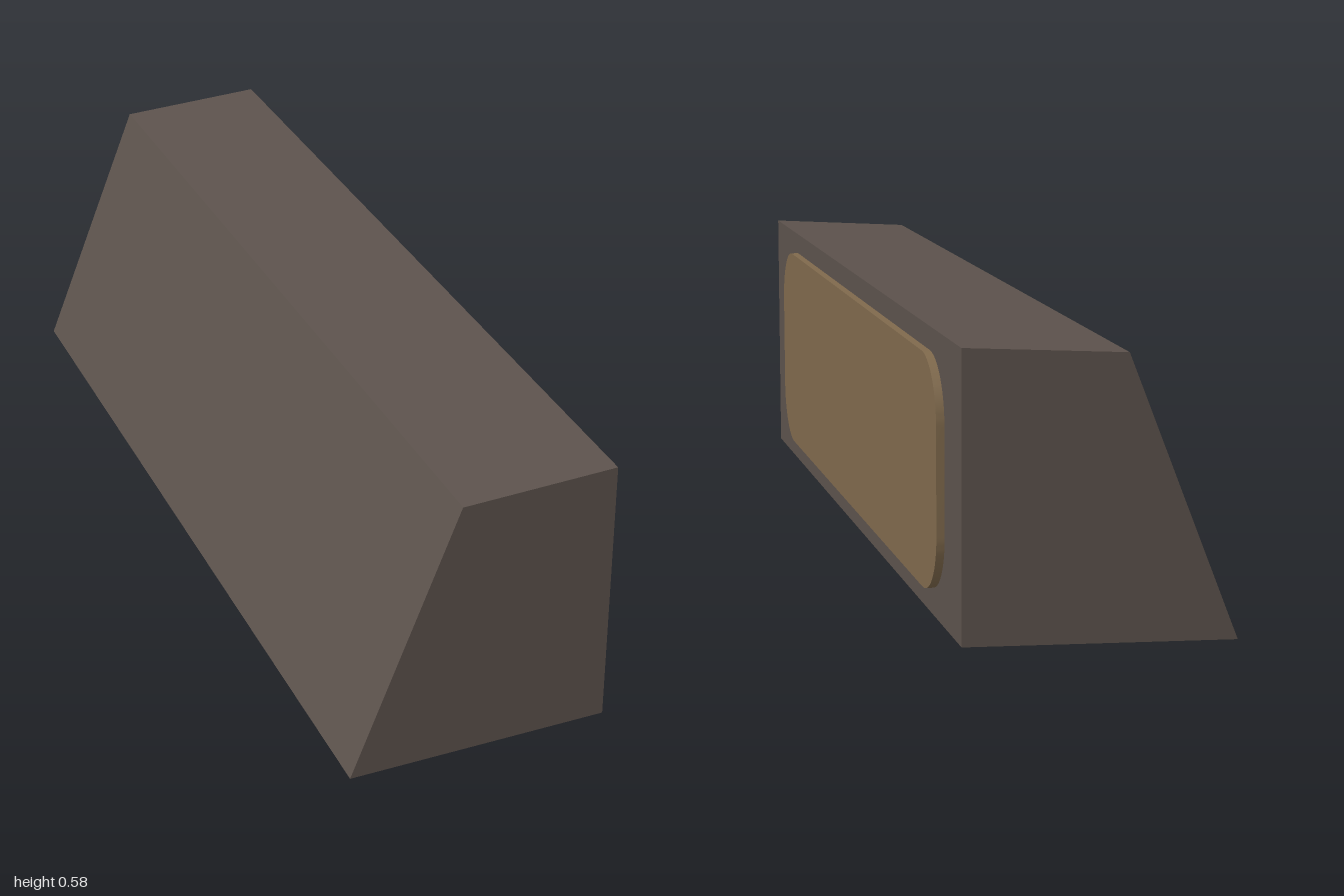
import * as THREE from 'three';
import { toCreasedNormals } from 'three/addons/utils/BufferGeometryUtils.js';

// Rectangle outline with rounded corners
function roundedRect(x0, y0, x1, y1, r) {
  const s = new THREE.Shape();
  s.absarc(x1 - r, y0 + r, r, -Math.PI / 2, 0);
  s.absarc(x1 - r, y1 - r, r, 0, Math.PI / 2);
  s.absarc(x0 + r, y1 - r, r, Math.PI / 2, Math.PI);
  s.absarc(x0 + r, y0 + r, r, Math.PI, Math.PI * 1.5);
  s.closePath();
  return s;
}

export function createModel() {
  const model = new THREE.Group();
  model.name = 'wedgeBlockWithPanel';

  // Body: slanted four-sided profile run along z
  const profile = new THREE.Shape([
    [-0.275, 0], [0.259, 0.019], [0.259, 0.576], [-0.057, 0.556],
  ].map(([x, y]) => new THREE.Vector2(x, y)));
  const bodyGeometry = new THREE.ExtrudeGeometry(profile, { depth: 2, bevelEnabled: false });
  bodyGeometry.translate(0, 0, -1);
  const body = new THREE.Mesh(bodyGeometry, new THREE.MeshStandardMaterial({ color: 0x5c524c }));
  body.name = 'body';
  model.add(body);

  // Raised panel with rounded corners on the upright side, sunk slightly into the body
  const outline = roundedRect(-0.83, 0.07, 0.863, 0.53, 0.125);
  const panelGeometry = toCreasedNormals(
    new THREE.ExtrudeGeometry(outline, { depth: 0.021, bevelEnabled: false, curveSegments: 12 }), 0.6);
  panelGeometry.rotateY(Math.PI / 2);
  panelGeometry.translate(0.254, 0, 0);
  const panel = new THREE.Mesh(panelGeometry, new THREE.MeshStandardMaterial({ color: 0x7f694c }));
  panel.name = 'panel';
  model.add(panel);

  return model;
}
